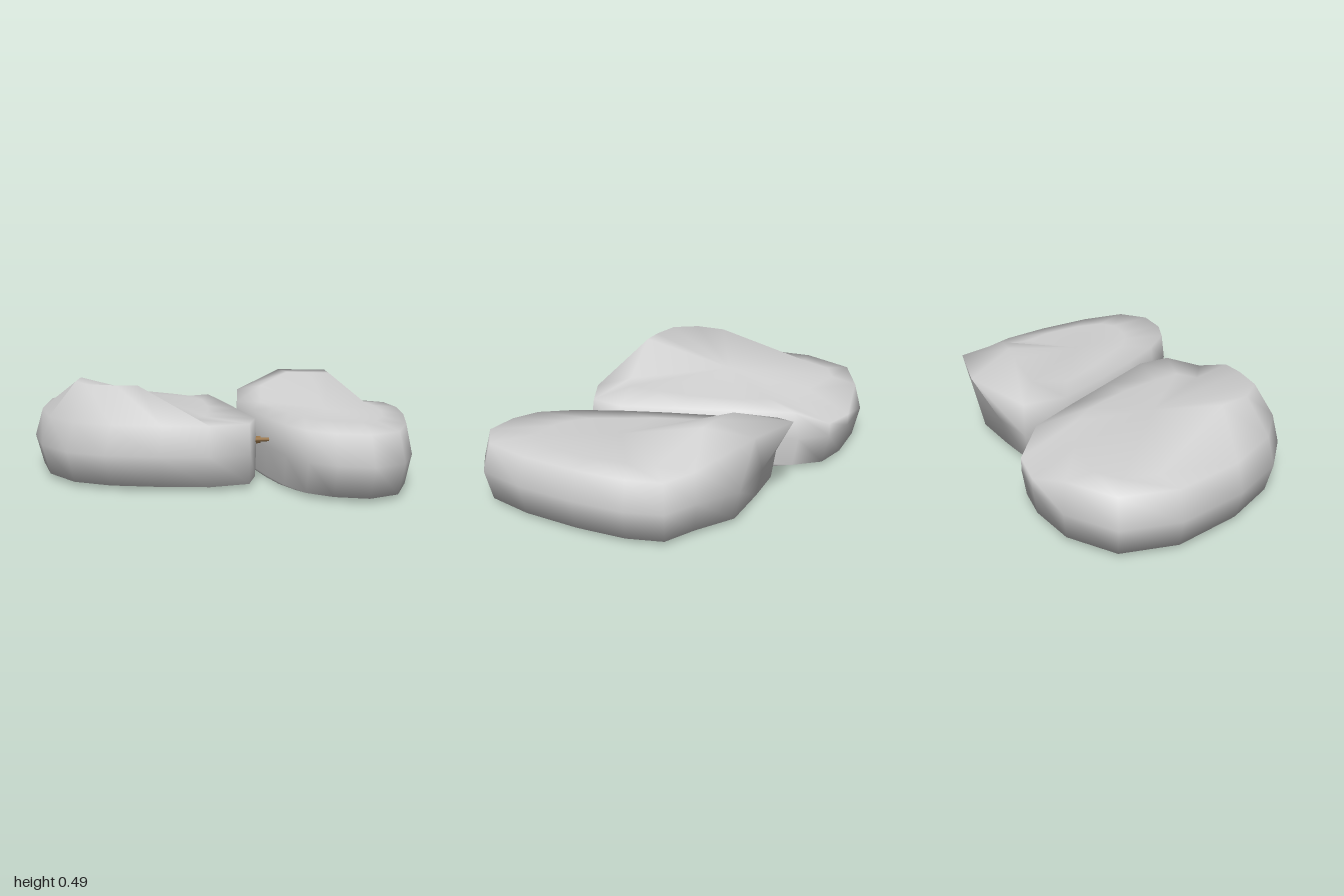
import * as THREE from 'three';
import { mergeVertices } from 'three/addons/utils/BufferGeometryUtils.js';

// Joins equal loops of points, listed from bottom to top, into one smooth closed skin.
function loft(rings) {
  const n = rings[0].length;
  const index = [];
  for (let r = 0; r < rings.length - 1; r++) {
    for (let i = 0; i < n; i++) {
      const a = r * n + i, b = r * n + (i + 1) % n;
      index.push(a, a + n, b + n, a, b + n, b);
    }
  }
  const geo = new THREE.BufferGeometry();
  geo.setAttribute('position', new THREE.Float32BufferAttribute(rings.flat(2), 3));
  geo.setIndex(index);
  const merged = mergeVertices(geo, 1e-4);
  merged.computeVertexNormals();
  return merged;
}

// A flat-bottomed boulder: bulging sides, a rim, and an uneven top.
// outline is [x, z] per corner, inner the matching [x, z, height] loop on top,
// summit the middle point, lip the height of rim corners that stay on the outline.
function rock({ outline, inner, summit, pivotX, lip, back = -2 }) {
  const ring = (s, y, zMin = -2) => outline.map(([x, z]) =>
    [pivotX + (x - pivotX) * s, y, Math.max(z * s, zMin)]);
  const rim = ring(0.96, 0.315).map((p, i) =>
    i in lip ? [outline[i][0], lip[i], outline[i][1]] : p);
  return loft([
    ring(0, 0),
    ring(0.74, 0, back + 0.12),
    ring(0.96, 0.02, back + 0.03),
    ring(1, 0.17, back),
    rim,
    inner.map(([x, z, y = 0.33]) => [x, y, z]),
    outline.map(() => summit),
  ]);
}

export function createModel() {
  const stone = new THREE.MeshStandardMaterial({ color: 0xd1d1d1 });
  stone.name = 'pale grey stone';
  const wood = new THREE.MeshStandardMaterial({ color: 0x9c784c });
  wood.name = 'brown wood';
  const group = new THREE.Group();
  const add = (name, geo, mat) => {
    const mesh = new THREE.Mesh(geo, mat);
    mesh.name = name;
    group.add(mesh);
    return mesh;
  };

  // Broad rock, raised at the front, with a sloping rim at the back
  add('broadRock', rock({
    outline: [[-1, -0.33], [-0.9, -0.61], [-0.65, -0.74], [-0.39, -0.75], [-0.21, -0.71],
      [-0.1, -0.58], [0.01, -0.3], [0.12, 0], [0.23, 0.3], [0.21, 0.48], [0.02, 0.57],
      [-0.22, 0.585], [-0.48, 0.575], [-0.68, 0.51], [-0.85, 0.33], [-0.96, 0.04]],
    inner: [[-0.82, -0.34], [-0.76, -0.5], [-0.64, -0.57], [-0.4, -0.52], [-0.28, -0.45],
      [-0.18, -0.38], [-0.1, -0.24], [-0.04, 0], [-0.02, 0.22], [-0.02, 0.36], [-0.12, 0.42],
      [-0.34, 0.43, 0.49], [-0.45, 0.43, 0.49], [-0.6, 0.4, 0.49], [-0.68, 0.28, 0.49],
      [-0.69, 0.12, 0.49]],
    summit: [-0.38, 0.385, -0.06], pivotX: 0.08, lip: { 3: 0.23, 4: 0.24 },
  }), stone);

  // Narrow rock, overhanging lip at the back
  add('narrowRock', rock({
    outline: [[0.08, -0.53], [0.31, -0.7], [0.58, -0.62], [0.77, -0.42], [0.93, -0.34],
      [0.985, -0.16], [1, 0.1], [0.985, 0.4], [0.93, 0.64], [0.79, 0.74], [0.62, 0.72],
      [0.49, 0.65], [0.38, 0.49], [0.28, 0.27], [0.19, 0.03], [0.09, -0.28]],
    inner: [[0.22, -0.4, 0.39], [0.37, -0.42, 0.467], [0.5, -0.38, 0.47], [0.6, -0.37, 0.47],
      [0.79, -0.22], [0.83, -0.1], [0.86, 0.08], [0.85, 0.26], [0.81, 0.4], [0.74, 0.45],
      [0.62, 0.44], [0.54, 0.4], [0.46, 0.32], [0.39, 0.18], [0.31, 0.03], [0.23, -0.18]],
    summit: [0.57, 0.338, 0.08], pivotX: 0.25, lip: { 0: 0.35, 1: 0.45, 2: 0.46 }, back: -0.55,
  }), stone);

  // Twigs caught in the gap: start, end, radii
  const twigs = [
    [[-0.1, 0.2, -0.43], [0.16, 0.19, -0.39], 0.022, 0.018],
    [[0.0, 0.19, -0.26], [0.15, 0.2, -0.32], 0.02, 0.016],
    [[0.0, 0.2, -0.23], [0.18, 0.2, -0.22], 0.018, 0.016],
    [[0.14, 0.18, 0.22], [0.3, 0.19, 0.14], 0.022, 0.016],
    [[0.18, 0.21, 0.315], [0.3, 0.21, 0.29], 0.012, 0.009],
  ];
  for (const [from, to, r0, r1] of twigs) {
    const a = new THREE.Vector3(...from), b = new THREE.Vector3(...to);
    const dir = b.clone().sub(a);
    const twig = add('twig', new THREE.CylinderGeometry(r1, r0, dir.length(), 8), wood);
    twig.position.copy(a).add(b).multiplyScalar(0.5);
    twig.quaternion.setFromUnitVectors(new THREE.Vector3(0, 1, 0), dir.normalize());
  }
  return group;
}
